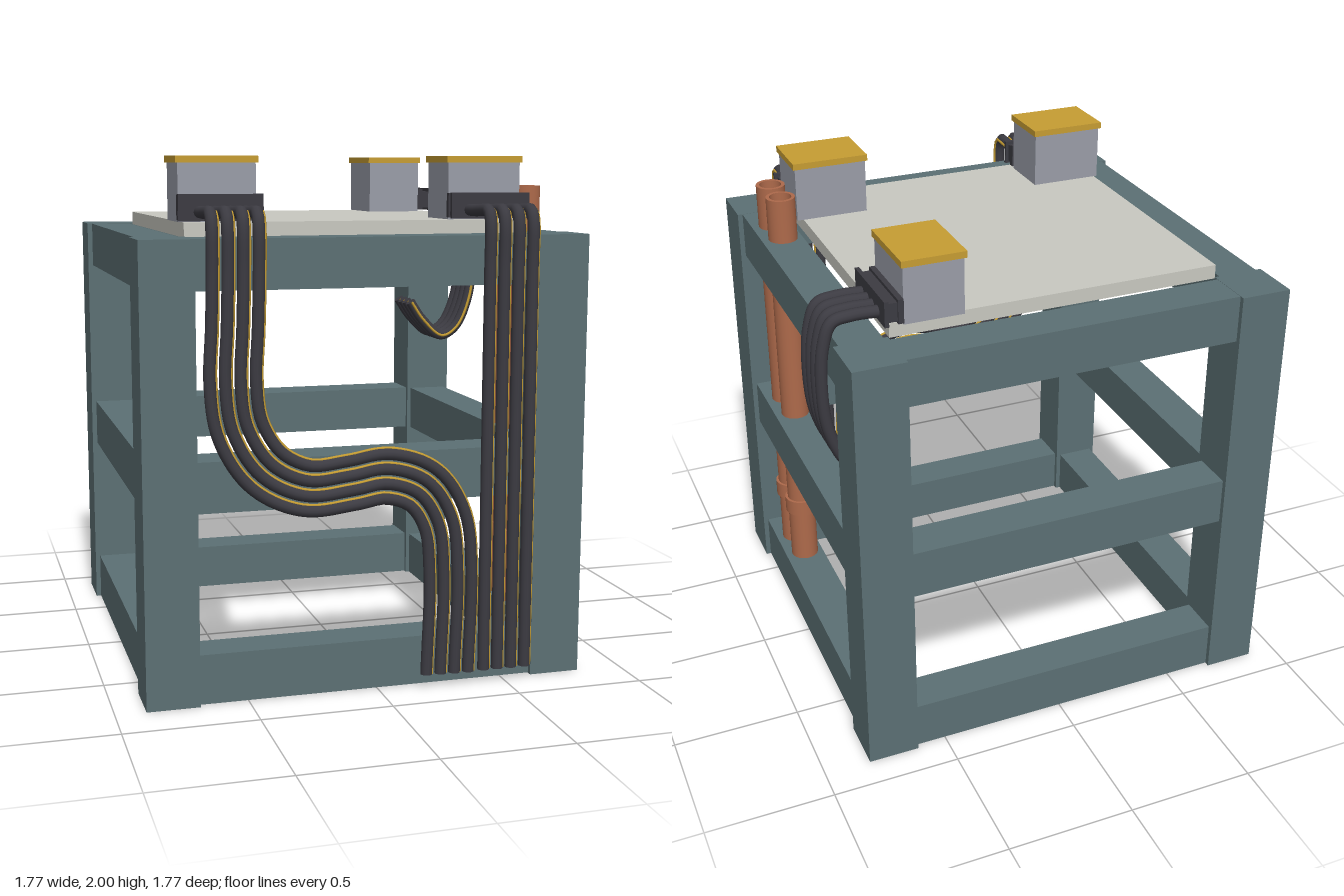
import * as THREE from 'three';

const mat = (name, color) => {
  const m = new THREE.MeshStandardMaterial({ color });
  m.name = name;
  return m;
};

export function createModel() {
  const model = new THREE.Group();
  model.name = 'equipmentFrame';
  const steel = mat('slate steel', 0x5c7074);
  const panel = mat('pale panel', 0xc9c9c1);
  const grey = mat('housing grey', 0x9a9da8);
  const gold = mat('gold', 0xc69d33);
  const copper = mat('copper', 0xae6a4b);
  const dark = mat('cable black', 0x3c3b42);

  const add = (parent, name, geometry, material) => {
    const m = new THREE.Mesh(geometry, material);
    m.name = name;
    parent.add(m);
    return m;
  };
  // Box from its lower and upper limits on each axis
  const box = (parent, name, material, x0, x1, y0, y1, z0, z1) => {
    const m = add(parent, name, new THREE.BoxGeometry(x1 - x0, y1 - y0, z1 - z0), material);
    m.position.set((x0 + x1) / 2, (y0 + y1) / 2, (z0 + z1) / 2);
    return m;
  };

  // Corner posts
  const frame = new THREE.Group();
  frame.name = 'frame';
  model.add(frame);
  for (const [x0, x1] of [[-0.885, -0.685], [0.62, 0.82]])
    for (const [z0, z1] of [[-0.885, -0.68], [0.62, 0.825]])
      box(frame, 'cornerPost', steel, x0, x1, 0, 1.71, z0, z1);

  // Three levels of rails, slightly thinner than the posts
  for (const [y0, y1] of [[0.001, 0.19], [0.72, 0.91], [1.525, 1.709]]) {
    for (const [z0, z1] of [[-0.865, -0.70], [0.64, 0.803]])
      box(frame, 'crossRail', steel, -0.685, 0.62, y0, y1, z0, z1);
    for (const [x0, x1] of [[-0.865, -0.705], [0.637, 0.8]])
      box(frame, 'sideRail', steel, x0, x1, y0, y1, -0.68, 0.62);
  }

  // Top panel
  box(model, 'topPanel', panel, -0.685, 0.615, 1.705, 1.76, -0.68, 0.615);

  // Connector housings: cap, body and flanged outlet facing local +z
  const connector = (x, z, turn) => {
    const g = new THREE.Group();
    g.name = 'connector';
    box(g, 'housing', grey, -0.146, 0.146, 1.76, 1.975, 0.008, 0.235);
    box(g, 'housingCap', gold, -0.154, 0.154, 1.975, 2, 0, 0.242);
    box(g, 'innerFlange', dark, -0.152, 0.152, 1.768, 1.86, 0.235, 0.256);
    box(g, 'outletBlock', dark, -0.145, 0.145, 1.776, 1.848, 0.256, 0.292);
    box(g, 'outerFlange', dark, -0.158, 0.158, 1.765, 1.862, 0.292, 0.308);
    g.position.set(x, 0, z);
    g.rotation.y = turn;
    model.add(g);
  };
  connector(-0.552, 0.336, 0);
  connector(0.494, 0.336, 0);
  connector(0.335, -0.562, Math.PI / 2);

  // Ribbon of four cables offset sideways from one centre path, each with a gold stripe
  const R = 0.0225;
  const ribbon = (name, points, sideAt) => {
    const g = new THREE.Group();
    g.name = name;
    model.add(g);
    const path = new THREE.CatmullRomCurve3(points.map((p) => new THREE.Vector3(...p)));
    const N = 90;
    const shifted = (d) => {
      const pts = [];
      for (let i = 0; i <= N; i++) {
        const p = path.getPointAt(i / N);
        pts.push(p.clone().addScaledVector(sideAt(p, path.getTangentAt(i / N)), d));
      }
      return new THREE.CatmullRomCurve3(pts);
    };
    for (let k = 0; k < 4; k++) {
      const d = (k - 1.5) * 0.056;
      const curve = shifted(d);
      add(g, 'cable', new THREE.TubeGeometry(curve, N, R, 12), dark);
      add(g, 'cableStripe', new THREE.TubeGeometry(shifted(d + R - 0.001), N, 0.0065, 6), gold);
      const end = add(g, 'cableEnd', new THREE.CircleGeometry(R, 12), dark);
      end.position.copy(curve.getPoint(1));
      end.lookAt(end.position.clone().add(curve.getTangent(1)));
    }
  };
  // Sideways direction within the front plane; plain +x near the outlet
  const frontSide = (p, t) =>
    p.y > 1.6 ? new THREE.Vector3(1, 0, 0) : new THREE.Vector3(-t.y, t.x, 0).normalize();
  const outlet = (x) => [
    [x, 1.798, 0.63], [x, 1.798, 0.71], [x, 1.802, 0.79], [x, 1.8, 0.838], [x, 1.755, 0.858], [x, 1.6, 0.858],
  ];

  ribbon('curvedCables', [
    ...outlet(-0.547),
    ...[[-0.552, 1.4], [-0.56, 1.2], [-0.535, 1.03], [-0.44, 0.88], [-0.29, 0.805], [-0.12, 0.815],
      [0.02, 0.832], [0.16, 0.78], [0.245, 0.65], [0.27, 0.45], [0.262, 0.055]].map(([x, y]) => [x, y, 0.858]),
  ], frontSide);

  ribbon('straightCables', [...outlet(0.493), [0.493, 1, 0.858], [0.493, 0.055, 0.858]], frontSide);

  ribbon('loopedCables',
    [[0.63, 1.798], [0.74, 1.8], [0.81, 1.785], [0.845, 1.7], [0.858, 1.53], [0.84, 1.36],
      [0.78, 1.225], [0.71, 1.187], [0.62, 1.26], [0.56, 1.345]].map(([x, y]) => [x, y, -0.562]),
    () => new THREE.Vector3(0, 0, 1));

  // Hollow copper pipes with a collar and a dark core
  const v = (x, y) => new THREE.Vector2(x, y);
  for (const z of [0.458, 0.311]) {
    const pipe = new THREE.Group();
    pipe.name = 'pipe';
    pipe.position.set(0.714, 0, z);
    model.add(pipe);
    add(pipe, 'pipeWall', new THREE.CylinderGeometry(0.058, 0.058, 1.887, 24, 1, true), copper).position.y = 0.9425;
    const bore = copper.clone();
    bore.side = THREE.DoubleSide;
    add(pipe, 'pipeBore', new THREE.LatheGeometry([v(0.044, 1.78), v(0.044, 1.886)], 24), bore);
    for (const [y, rx] of [[1.886, -Math.PI / 2], [-0.001, Math.PI / 2]]) {
      const rim = add(pipe, 'pipeRim', new THREE.RingGeometry(0.044, 0.058, 24), copper);
      rim.position.y = y;
      rim.rotation.x = rx;
    }
    add(pipe, 'pipeCore', new THREE.CylinderGeometry(0.044, 0.044, 1.77, 24), dark).position.y = 0.9;
    add(pipe, 'pipeCollar', new THREE.CylinderGeometry(0.069, 0.069, 0.068, 24), copper).position.y = 0.458;
  }

  return model;
}
